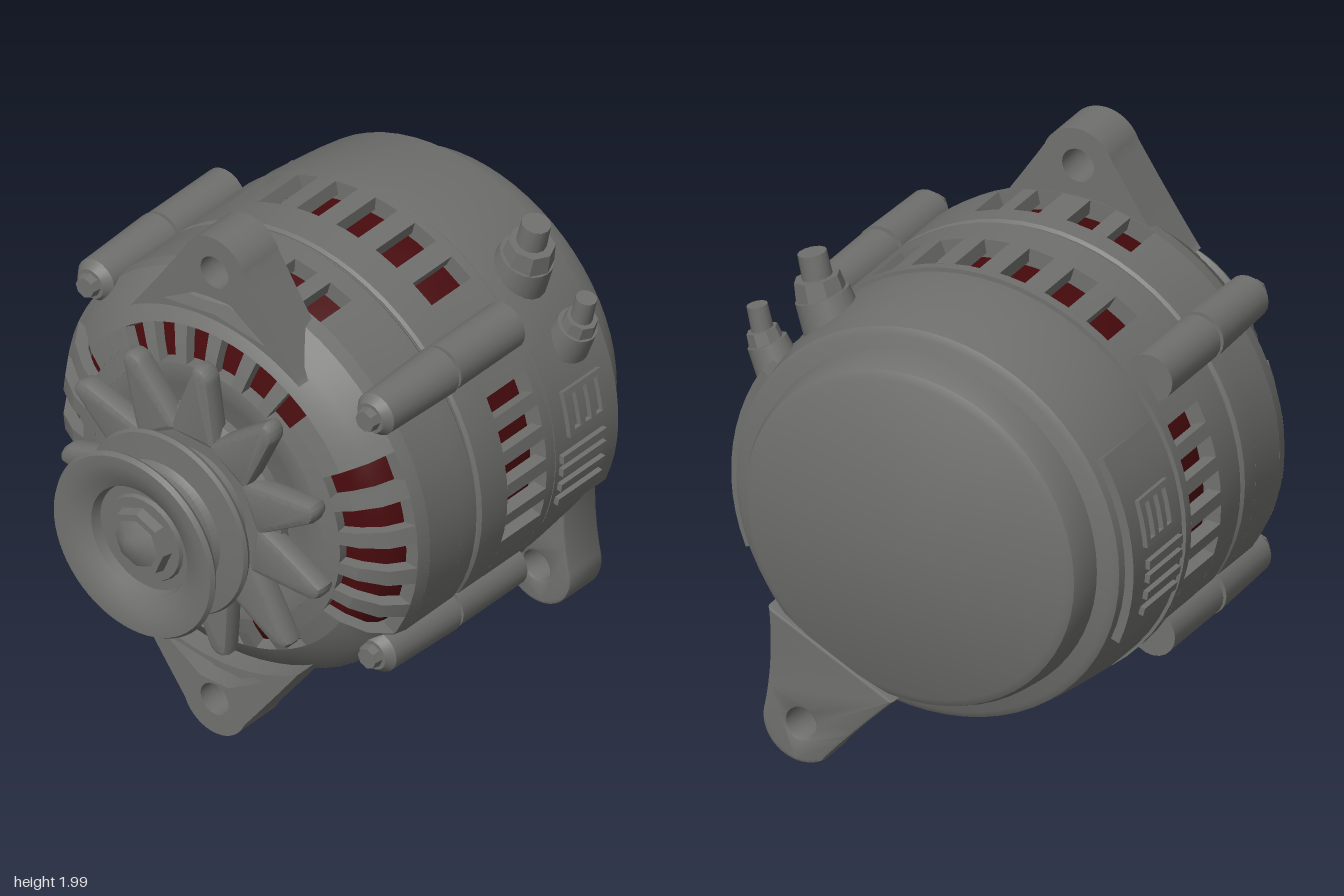
import * as THREE from 'three';
import { toCreasedNormals } from 'three/addons/utils/BufferGeometryUtils.js';

const casing = new THREE.MeshStandardMaterial({ color: 0x70706e });
casing.name = 'castGrey';
const winding = new THREE.MeshStandardMaterial({ color: 0x480a0d });
winding.name = 'darkRed';
const RAD = Math.PI / 180;

export function createModel() {
  const model = new THREE.Group();
  model.name = 'alternator';
  const body = new THREE.Group();
  body.name = 'machine';
  body.position.y = 0.99; // shaft axis height
  model.add(body);

  const add = (name, geo, mat = casing, parent = body) => {
    const mesh = new THREE.Mesh(toCreasedNormals(geo, 0.6), mat);
    mesh.name = name;
    parent.add(mesh);
    return mesh;
  };

  // The housing is slightly shallower below the shaft than above it
  const settle = geo => {
    const pos = geo.attributes.position;
    for (let i = 0; i < pos.count; i++) if (pos.getY(i) < 0) pos.setY(i, pos.getY(i) * 0.95);
    return geo;
  };

  // Turned part: [radius, z] points with z ascending along the outside
  const lathe = (pts, segs = 64) =>
    new THREE.LatheGeometry(pts.map(p => new THREE.Vector2(...p)), segs).rotateX(Math.PI / 2);
  const housing = (name, pts, mat) => add(name, settle(lathe(pts)), mat);

  // Closed [radius, z] profile swept about the shaft from angle a0 to a1 (degrees)
  const sector = (name, profile, a0, a1) => {
    const shape = new THREE.Shape(profile.map(p => new THREE.Vector2(...p)));
    const steps = Math.max(1, Math.ceil((a1 - a0) / 5));
    const geo = new THREE.ExtrudeGeometry(shape, { depth: 1, steps, bevelEnabled: false });
    const pos = geo.attributes.position;
    for (let i = 0; i < pos.count; i++) {
      const r = pos.getX(i), z = pos.getY(i), a = (a1 - pos.getZ(i) * (a1 - a0)) * RAD;
      pos.setXYZ(i, r * Math.cos(a), r * Math.sin(a), z);
    }
    return add(name, settle(geo));
  };
  const block = (r0, r1, z0, z1) => [[r0, z0], [r1, z0], [r1, z1], [r0, z1]];

  // Row of windows around a middle angle
  const row = (mid, count, pitch, half) =>
    Array.from({ length: count }, (_, i) => ({ a: mid + (i - (count - 1) / 2) * pitch, half }));

  // Ring pierced by windows: builds the solid pieces between them
  const piercedRing = (name, profile, windows) => {
    const w = windows.slice().sort((p, q) => p.a - q.a);
    w.forEach((cur, i) => {
      const next = w[(i + 1) % w.length];
      const turnOver = i + 1 < w.length ? 0 : 360;
      sector(name, profile, cur.a + cur.half, next.a + turnOver - next.half);
    });
  };

  // Extruded plate between z0 and z1
  const plate = (name, shape, z0, z1, bevel = 0.012, parent = body) =>
    add(name, new THREE.ExtrudeGeometry(shape, {
      depth: z1 - z0 - 2 * bevel, bevelEnabled: bevel > 0, bevelThickness: bevel,
      bevelSize: bevel, bevelOffset: -bevel, bevelSegments: 2, curveSegments: 14,
    }).translate(0, 0, z0 + bevel), casing, parent);

  // Cylinder between two points
  const rod = (name, p0, p1, r0, r1 = r0, segs = 20) => {
    const a = new THREE.Vector3(...p0), d = new THREE.Vector3(...p1).sub(a);
    const mesh = add(name, new THREE.CylinderGeometry(r1, r0, d.length(), segs));
    mesh.position.copy(a).addScaledVector(d, 0.5);
    mesh.quaternion.setFromUnitVectors(new THREE.Vector3(0, 1, 0), d.normalize());
  };

  // Stator core seen through the windows
  housing('windingCore', [[0, -0.34], [0.69, -0.34], [0.69, 0.28], [0.64, 0.36], [0.58, 0.39], [0, 0.41]], winding);

  // Front housing: barrel, corner strips and face
  const ventsTop = [...row(90, 6, 14, 4.4), ...row(270, 6, 14, 4.4)];
  const ventsSide = [...row(0, 5, 13, 3.9), ...row(180, 5, 13, 3.9)];
  const barrelVents = [];
  for (const mid of [90, 270]) for (const d of [-19, -7.5, 7.5, 19]) barrelVents.push({ a: mid + d, half: 3.6 });
  housing('frontBarrelRing', [[0.70, 0.025], [0.755, 0.025], [0.765, 0.035], [0.765, 0.11], [0.70, 0.11]]);
  piercedRing('frontBarrelWall', block(0.715, 0.765, 0.11, 0.27), barrelVents);
  housing('frontBarrelLip', [[0.70, 0.27], [0.765, 0.27], [0.755, 0.32], [0.705, 0.32]]);
  const outer = [[0.755, 0.32], [0.70, 0.40], [0.615, 0.455], [0.55, 0.475], [0.485, 0.49]];
  const inner = [[0.71, 0.31], [0.665, 0.375], [0.60, 0.415], [0.545, 0.435], [0.485, 0.45]];
  const strip = (i, j) => [...outer.slice(i, j + 1), ...inner.slice(i, j + 1).reverse()];
  piercedRing('frontCorner', strip(0, 2), ventsSide);
  piercedRing('frontVentRing', strip(2, 3), [...ventsTop, ...ventsSide]);
  piercedRing('frontInnerRing', strip(3, 4), ventsTop);
  housing('frontFace', [[0, 0.44], [0.485, 0.44], [0.485, 0.49], [0.43, 0.495], [0.40, 0.48], [0, 0.48]]);

  // Rear housing with a ring of windows
  housing('seamRing', [[0.70, -0.1], [0.75, -0.1], [0.75, 0.1], [0.70, 0.1]]);
  housing('rearBarrelRing', [[0.70, -0.125], [0.765, -0.125], [0.765, 0.005], [0.755, 0.015], [0.70, 0.015]]);
  piercedRing('rearBarrelWall', block(0.715, 0.765, -0.325, -0.125), [
    ...row(90.5, 6, 12.8, 3.6), ...row(270, 6, 12.8, 3.6), ...row(6.4, 5, 9.4, 2.9), ...row(173.6, 5, 9.4, 2.9)]);
  housing('rearBarrelLip', [[0.70, -0.36], [0.765, -0.36], [0.765, -0.325], [0.70, -0.325]]);
  housing('coverSeam', [[0.68, -0.40], [0.745, -0.40], [0.745, -0.33], [0.68, -0.33]]);

  // Rear cover and end cap
  housing('rearCover', [[0, -0.745], [0.695, -0.745], [0.72, -0.73], [0.735, -0.64], [0.755, -0.46], [0.755, -0.37], [0, -0.37]]);
  housing('endCap', [[0, -0.875], [0.59, -0.872], [0.62, -0.855], [0.635, -0.82], [0.645, -0.74], [0, -0.74]]);

  // Side grilles on the rear cover
  for (const side of [1, -1]) {
    const bar = (name, z0, z1, a0, a1, r = 0.775) =>
      side > 0 ? sector(name, block(0.7, r, z0, z1), a0, a1) : sector(name, block(0.7, r, z0, z1), 180 - a1, 180 - a0);
    bar('grillePanel', -0.70, -0.38, -22, 32, 0.757);
    for (let i = 0; i < 4; i++) bar('grilleBar', -0.63 + i * 0.055, -0.605 + i * 0.055, 6, 17);
    for (const a of [6, 17]) bar('grilleRail', -0.63, -0.44, a - 0.8, a + 0.8);
    for (const a of [-14, -9, -4, 0]) bar('louvre', -0.62, -0.40, a - 1.2, a + 1.2);
  }

  // Through-bolt bosses on the four corners
  for (const [x, y] of [[0.60, 0.52], [-0.60, 0.51], [0.61, -0.43], [-0.61, -0.43]]) {
    rod('frontBoss', [x, y, 0.03], [x, y, 0.35], 0.088, 0.078);
    rod('frontBossCrown', [x, y, 0.35], [x, y, 0.38], 0.078, 0.055);
    rod('rearBoss', [x, y, -0.31], [x, y, 0.015], 0.085);
    rod('boltHead', [x, y, 0.37], [x, y, 0.41], 0.045, 0.038, 8);
  }

  // Mounting ears, top and bottom, with a pocket in front
  const circleHole = (x, y, r) => new THREE.Path().absarc(x, y, r, 0, Math.PI * 2, true);
  const earShape = (holeY, pocket) => {
    const s = new THREE.Shape();
    s.moveTo(0.36, 0.58);
    s.quadraticCurveTo(0.255, 0.725, 0.125, holeY + 0.05);
    s.absarc(0, holeY, 0.135, 0.38, Math.PI - 0.38, false);
    s.quadraticCurveTo(-0.255, 0.725, -0.36, 0.58);
    s.absarc(0, 0, 0.683, 122 * RAD, 58 * RAD, true);
    s.holes.push(circleHole(0, holeY, 0.06));
    if (pocket) s.holes.push(new THREE.Path(
      [[-0.22, 0.675], [-0.06, 0.775], [0.06, 0.775], [0.22, 0.675], [0, 0.705]].map(p => new THREE.Vector2(...p))));
    return s;
  };
  for (const [name, holeY, turnZ] of [['topEar', 0.875, 0], ['bottomEar', 0.845, Math.PI]]) {
    plate(name, earShape(holeY, false), 0.28, 0.39, 0).rotation.z = turnZ;
    plate(name + 'Rim', earShape(holeY, true), 0.39, 0.46, 0).rotation.z = turnZ;
  }

  // Rear adjusting foot
  const foot = new THREE.Shape();
  foot.moveTo(0.52, -0.36);
  foot.lineTo(0.05, -0.60);
  foot.quadraticCurveTo(0.21, -0.76, 0.31, -0.878);
  foot.absarc(0.395, -0.765, 0.145, -125 * RAD, 15 * RAD, false);
  foot.quadraticCurveTo(0.50, -0.55, 0.52, -0.36);
  foot.holes.push(circleHole(0.395, -0.765, 0.055));
  plate('rearFoot', foot, -0.88, -0.71);

  // Terminal studs
  rod('mainTerminalBase', [0.45, 0.50, -0.53], [0.51, 0.64, -0.53], 0.11, 0.095);
  rod('mainTerminalNut', [0.51, 0.63, -0.53], [0.53, 0.70, -0.53], 0.09, 0.08, 8);
  rod('mainTerminalStud', [0.525, 0.69, -0.53], [0.548, 0.785, -0.53], 0.052, 0.05, 12);
  rod('smallTerminalBase', [0.65, 0.33, -0.56], [0.70, 0.43, -0.56], 0.08, 0.07);
  rod('smallTerminalNut', [0.70, 0.42, -0.56], [0.72, 0.47, -0.56], 0.062, 0.055, 8);
  rod('smallTerminalStud', [0.715, 0.46, -0.56], [0.738, 0.555, -0.56], 0.038, 0.036, 12);

  // Cooling fan with broad, blunt-tipped blades
  add('fanDisc', lathe([[0, 0.50], [0.35, 0.50], [0.35, 0.535], [0.30, 0.57], [0, 0.57]]));
  const fan = new THREE.Group();
  fan.name = 'fanBlades';
  body.add(fan);
  const blade = new THREE.Shape();
  blade.moveTo(-0.10, 0.27);
  blade.lineTo(0.10, 0.27);
  blade.quadraticCurveTo(0.075, 0.42, 0.055, 0.53);
  blade.quadraticCurveTo(0.03, 0.575, -0.01, 0.56);
  blade.quadraticCurveTo(-0.06, 0.42, -0.10, 0.27);
  for (let i = 0; i < 11; i++)
    plate('fanBlade', blade, 0.505, 0.59, 0.025, fan).rotation.z = -i * Math.PI * 2 / 11 - 0.03;

  // Grooved pulley, dished in front, with a domed shaft nut
  add('pulley', lathe([
    [0, 0.53], [0.24, 0.53], [0.215, 0.60], [0.22, 0.66], [0.235, 0.675], [0.335, 0.68], [0.342, 0.695], [0.335, 0.71],
    [0.24, 0.718], [0.225, 0.74], [0.225, 0.79], [0.25, 0.82], [0.335, 0.85], [0.345, 0.865], [0.335, 0.882],
    [0.30, 0.882], [0.25, 0.87], [0.205, 0.845], [0.195, 0.81], [0, 0.81]]));
  rod('nutWasher', [0, 0, 0.80], [0, 0, 0.825], 0.165, 0.155, 24);
  rod('shaftNut', [0, 0, 0.82], [0, 0, 0.86], 0.125, 0.115, 8);
  rod('shaftEnd', [0, 0, 0.86], [0, 0, 0.89], 0.09, 0.03, 8);

  return model;
}
